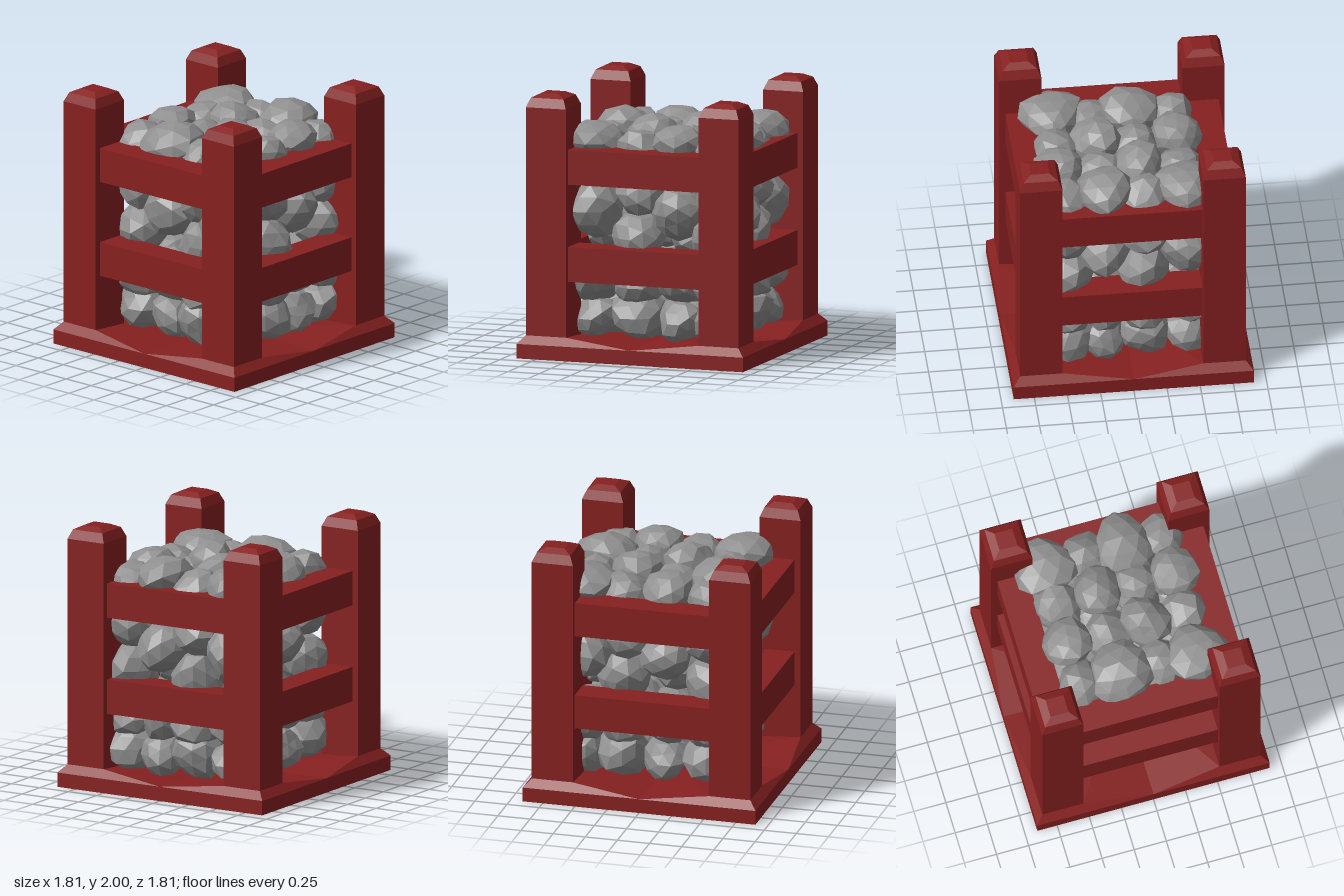
import * as THREE from 'three';

const red = new THREE.MeshStandardMaterial({ color: 0x862020, flatShading: true });
red.name = 'red painted wood';
const grey = new THREE.MeshStandardMaterial({ color: 0x8f8f8f, flatShading: true });
grey.name = 'grey stone';

function add(group, geometry, material, name) {
  const mesh = new THREE.Mesh(geometry, material);
  mesh.name = name;
  group.add(mesh);
  return mesh;
}

// Square plinth: chamfered corners, dipping to the middle of each side
function baseGeometry() {
  const side = [[-0.85, 0.17, 0.85], [-0.53, 0.17, 0.85], [0, 0.11, 0.905], [0.53, 0.17, 0.85]];
  const rings = [[], [], []];
  const up = new THREE.Vector3(0, 1, 0);
  for (let s = 0; s < 4; s++) {
    side.forEach(([x, y, z], i) => {
      const outerX = [-0.905, -0.53, 0, 0.53][i];
      [[x, y, z], [outerX, 0.11, 0.905], [outerX, 0, 0.905]].forEach((p, r) =>
        rings[r].push(new THREE.Vector3(...p).applyAxisAngle(up, s * Math.PI / 2)));
    });
  }
  const pos = [];
  const tri = (...pts) => pts.forEach(p => pos.push(p.x, p.y, p.z));
  const top = new THREE.Vector3(0, 0.11, 0), bottom = new THREE.Vector3();
  for (let i = 0; i < 16; i++) {
    const j = (i + 1) % 16;
    tri(top, rings[0][i], rings[0][j]);
    for (let r = 0; r < 2; r++) {
      const a = rings[r], b = rings[r + 1];
      tri(a[i], b[i], b[j]);
      tri(a[i], b[j], a[j]);
    }
    tri(bottom, rings[2][j], rings[2][i]);
  }
  const g = new THREE.BufferGeometry();
  g.setAttribute('position', new THREE.Float32BufferAttribute(pos, 3));
  g.computeVertexNormals();
  return g;
}

// Square post with a two-step chamfered cap
function postGeometry() {
  const profile = [[0, 0.1], [0.16, 0.1], [0.16, 1.9], [0.13, 1.97], [0.07, 2], [0, 2]];
  return new THREE.LatheGeometry(
    profile.map(([half, y]) => new THREE.Vector2(half * Math.SQRT2, y)), 4, Math.PI / 4);
}

// Faceted boulder: an icosphere pushed in and out by a smooth rule, narrowed towards -z by taper
function stoneGeometry(seed, taper) {
  const g = new THREE.IcosahedronGeometry(1, 1);
  const p = g.attributes.position, v = new THREE.Vector3();
  for (let i = 0; i < p.count; i++) {
    v.fromBufferAttribute(p, i);
    const bump = 0.07 * Math.sin(3.1 * v.x + 2.3 * v.y + seed * 1.7)
      + 0.07 * Math.sin(2.7 * v.z - 3.7 * v.y + seed * 2.9);
    v.multiplyScalar(1 + bump);
    p.setXYZ(i, v.x * (1 + taper * v.z), v.y, v.z);
  }
  g.computeVertexNormals();
  return g;
}

export function createModel() {
  const model = new THREE.Group();
  model.name = 'stoneFilledCrate';

  add(model, baseGeometry(), red, 'base');

  const post = postGeometry();
  for (const x of [-0.69, 0.69])
    for (const z of [-0.69, 0.69])
      add(model, post, red, 'cornerPost').position.set(x, 0, z);

  // Two rails on each of the four sides
  const rail = new THREE.BoxGeometry(1.08, 0.264, 0.225);
  for (const y of [0.718, 1.455]) {
    for (let s = 0; s < 4; s++) {
      const a = s * Math.PI / 2;
      const mesh = add(model, rail, red, 'rail');
      mesh.position.set(Math.sin(a) * 0.69, y, Math.cos(a) * 0.69);
      mesh.rotation.y = a;
    }
  }

  // Stones: a 4 x 4 checkerboard of two alternating stacks, each entry [y, radius]
  const stones = new THREE.Group();
  stones.name = 'stones';
  model.add(stones);
  const columns = [-0.43, -0.12, 0.18, 0.47], rows = [-0.55, -0.24, 0.08, 0.42];
  const highStack = [[0.28, 0.175], [0.59, 0.19], [1.1, 0.195], [1.62, 0.195]];
  const lowStack = [[0.31, 0.205], [0.54, 0.19], [0.91, 0.2], [1.24, 0.19], [1.54, 0.19]];
  let seed = 7;
  const rand = () => (seed = (seed * 16807) % 2147483647) / 2147483647;
  rows.forEach((z, k) => columns.forEach((x, i) => {
    const high = (i + k) % 2 === 0;
    const stack = high ? highStack : lowStack;
    stack.forEach(([y, r], n) => {
      // The high stones of the outer rows are larger and egg-shaped
      const large = high && n > 0 && (k === 0 || k === 3);
      const top = high && n === stack.length - 1;
      const width = large ? r * (top ? 1.22 : 1.12) : r;
      const height = top ? 0.165 : width * 0.97;
      const stone = add(stones, stoneGeometry(i * 5 + k * 11 + n * 3, large ? 0.25 : 0), grey, 'stone');
      stone.position.set(x + (rand() - 0.5) * 0.02, y, z + (rand() - 0.5) * 0.02);
      stone.scale.set(width, height, width);
      stone.rotation.y = large ? 0 : rand() * 6.28;
    });
  }));
  return model;
}
